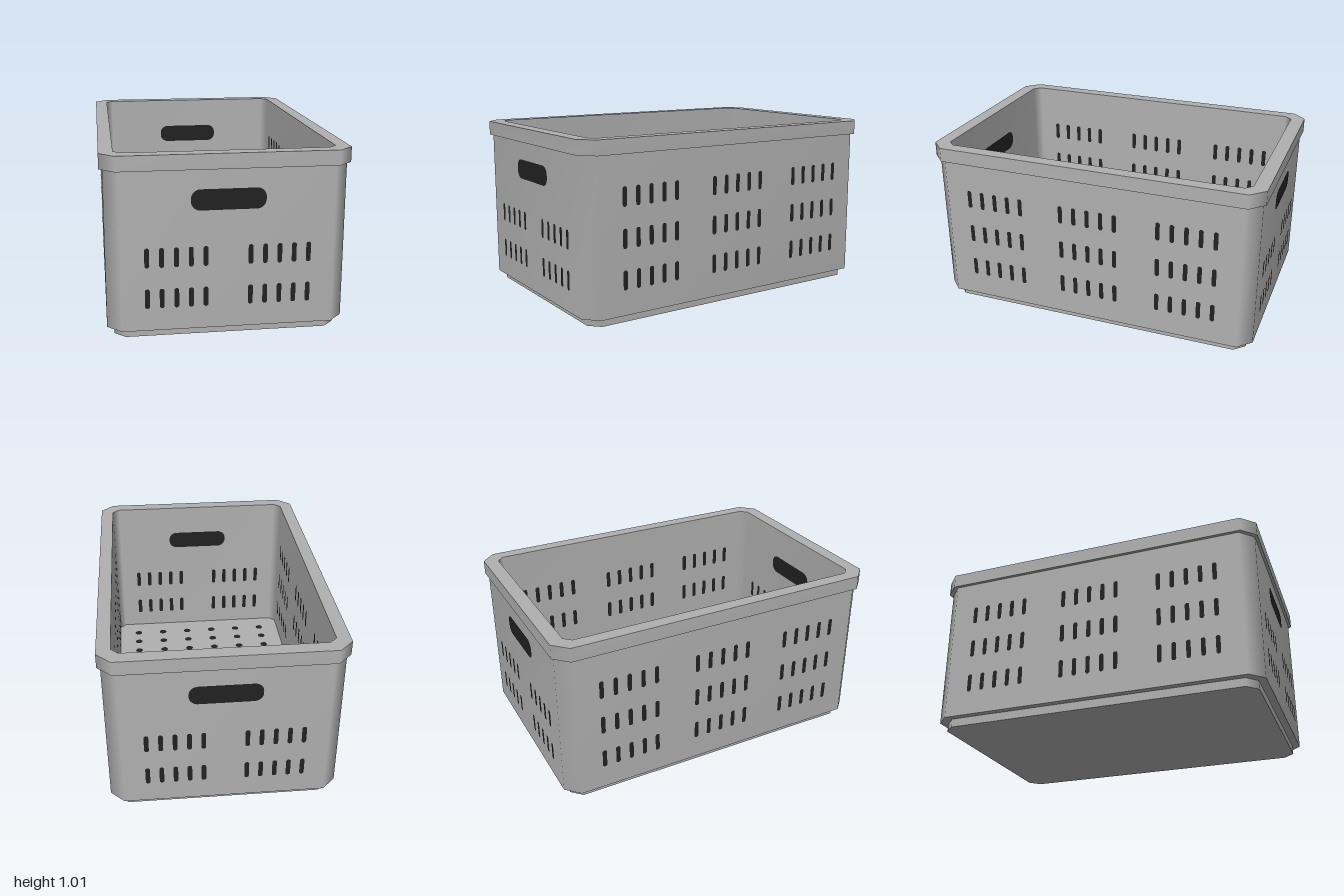
import * as THREE from 'three';
import { mergeGeometries } from 'three/addons/utils/BufferGeometryUtils.js';

const CENTRE = y => [0, 0, 0, y];

// Octagonal ring: half width, half depth, corner cut, height
function ring([hx, hz, c, y]) {
  return [
    [hx, hz - c], [hx - c, hz], [c - hx, hz], [-hx, hz - c],
    [-hx, c - hz], [c - hx, -hz], [hx - c, -hz], [hx, c - hz],
  ].flatMap(([x, z]) => [x, y, z]);
}

// Surface through successive rings: smooth around the corners, sharp between bands
function bands(profile) {
  const parts = [];
  for (let k = 0; k + 1 < profile.length; k++) {
    const g = new THREE.BufferGeometry();
    const pos = [...ring(profile[k]), ...ring(profile[k + 1])];
    const index = [];
    for (let i = 0; i < 8; i++) {
      const j = (i + 1) % 8;
      index.push(i, i + 8, j, j, i + 8, j + 8);
    }
    g.setAttribute('position', new THREE.Float32BufferAttribute(pos, 3));
    g.setIndex(index);
    g.computeVertexNormals();
    parts.push(g);
  }
  return mergeGeometries(parts);
}

// Flat rounded panel centred on (x, y)
function slot(x, y, w, h, r) {
  const s = new THREE.Shape();
  const a = w / 2 - r, b = h / 2 - r;
  s.absarc(a, b, r, 0, Math.PI / 2);
  s.absarc(-a, b, r, Math.PI / 2, Math.PI);
  s.absarc(-a, -b, r, Math.PI, Math.PI * 1.5);
  s.absarc(a, -b, r, Math.PI * 1.5, Math.PI * 2);
  return new THREE.ShapeGeometry(s, 6).translate(x, y, 0);
}

// Groups of five slots in rows
function slotGrid(groupCentres, rows, step) {
  const parts = [];
  for (const c of groupCentres)
    for (const y of rows)
      for (let i = -2; i <= 2; i++) parts.push(slot(c + i * step, y, 0.026, 0.11, 0.012));
  return mergeGeometries(parts);
}

export function createModel() {
  const crate = new THREE.Group();
  crate.name = 'crate';
  const plastic = new THREE.MeshStandardMaterial({ color: 0xb0b0b0 });
  plastic.name = 'grey plastic';
  const dark = new THREE.MeshStandardMaterial({ color: 0x222222 });
  dark.name = 'dark opening';

  const add = (name, geometry, material) => {
    const m = new THREE.Mesh(geometry, material);
    m.name = name;
    crate.add(m);
    return m;
  };

  // Shell
  const foot = [0.613, 0.94, 0.06], body = [0.652, 0.983, 0.078];
  const rim = [0.67, 1, 0.08], inner = [0.593, 0.918, 0.04];
  const floorY = 0.07;
  add('base', bands([CENTRE(0), [...foot, 0], [...foot, 0.05]]), plastic);
  add('outerWalls', bands([[...foot, 0.05], [...body, 0.05], [...body, 0.932]]), plastic);
  add('rim', bands([[...body, 0.932], [...rim, 0.932], [...rim, 1.015], [...inner, 1.015]]), plastic);
  add('innerWalls', bands([[...inner, 1.015], [...inner, floorY]]), plastic);
  add('floor', bands([[...inner, floorY], CENTRE(floorY)]), plastic);

  // Slots and handles, on both faces of every wall
  const endSlots = slotGrid([-0.278, 0.278], [0.46, 0.232], 0.0785);
  const sideSlots = slotGrid([-0.59, 0, 0.59], [0.705, 0.477, 0.248], 0.083);
  const handle = slot(0, 0.768, 0.4, 0.114, 0.05);
  const gap = 0.003;
  const place = (name, geometry, angle, outer, inside) => {
    const dir = new THREE.Vector3(Math.sin(angle), 0, Math.cos(angle));
    const out = add(name + 'Outside', geometry, dark);
    out.rotation.y = angle;
    out.position.copy(dir).multiplyScalar(outer + gap);
    const back = add(name + 'Inside', geometry, dark);
    back.rotation.y = angle + Math.PI;
    back.position.copy(dir).multiplyScalar(inside - gap);
  };
  for (const [side, angle] of [['front', 0], ['back', Math.PI]]) {
    place(side + 'Slots', endSlots, angle, body[1], inner[1]);
    place(side + 'Handle', handle, angle, body[1], inner[1]);
  }
  for (const [side, angle] of [['left', Math.PI / 2], ['right', -Math.PI / 2]])
    place(side + 'Slots', sideSlots, angle, body[0], inner[0]);

  // Drain holes in the floor
  const holes = [];
  for (let i = 0; i < 6; i++)
    for (let j = 0; j < 14; j++)
      holes.push(new THREE.CircleGeometry(0.025, 12).rotateX(-Math.PI / 2)
        .translate((i - 2.5) * 0.183, floorY + gap, (j - 6.5) * 0.1208));
  add('drainHoles', mergeGeometries(holes), dark);

  return crate;
}
